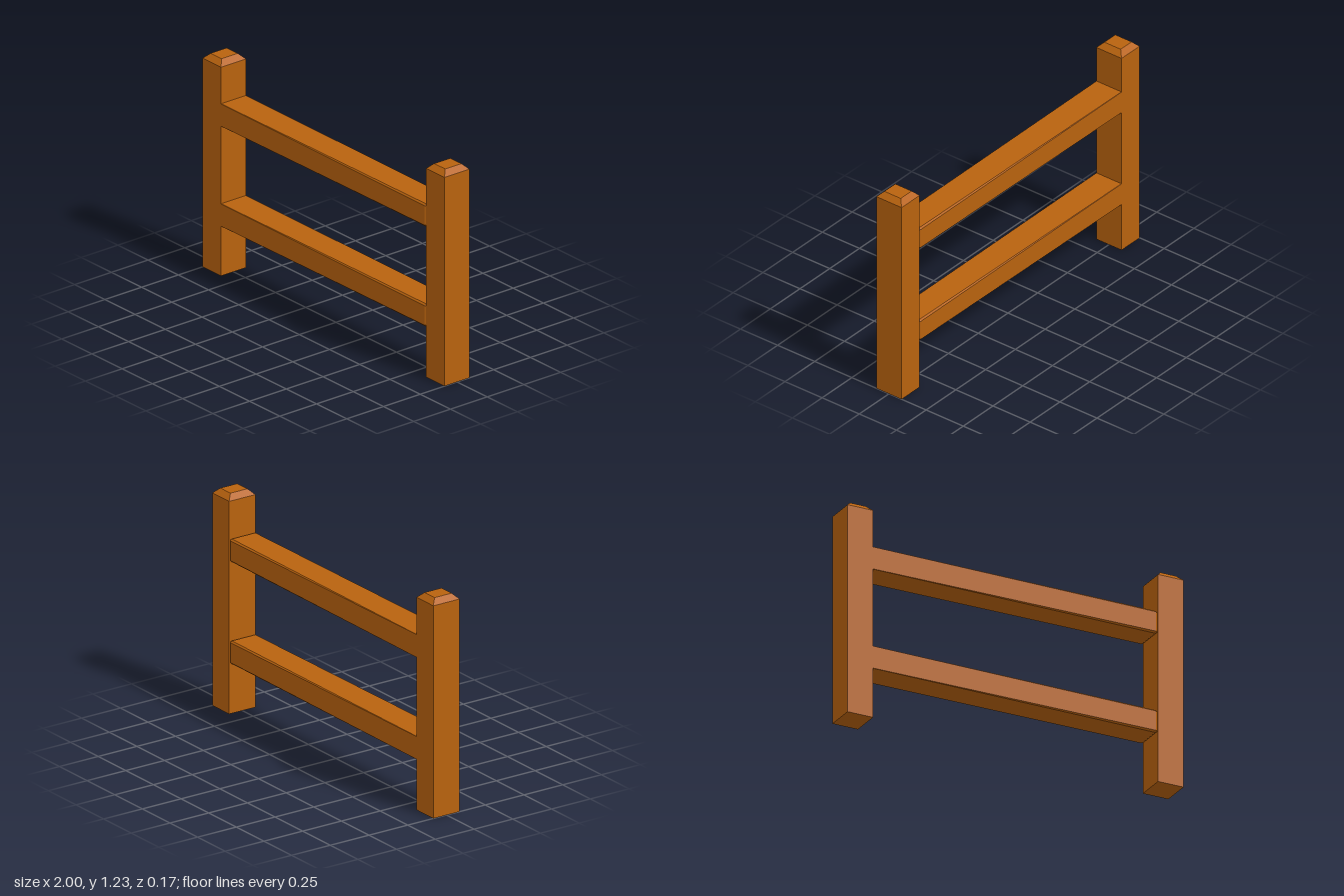
import * as THREE from 'three';

const wood = new THREE.MeshStandardMaterial({ color: 0xb8620e, flatShading: true });
const DEPTH = 0.17, POST_W = 0.152, POST_H = 1.2, CAP_H = 0.03, INSET = 0.03;

function flat(geometry) {
  const g = geometry.index ? geometry.toNonIndexed() : geometry;
  g.computeVertexNormals();
  return g;
}

// Square post whose upper ring is drawn in to form the bevelled cap
function postGeometry() {
  const g = new THREE.BoxGeometry(POST_W, 2, DEPTH, 1, 2, 1);
  const p = g.attributes.position;
  for (let i = 0; i < p.count; i++) {
    const level = Math.round(p.getY(i));
    p.setY(i, [0, POST_H, POST_H + CAP_H][level + 1]);
    if (level === 1) {
      p.setX(i, p.getX(i) - Math.sign(p.getX(i)) * INSET);
      p.setZ(i, p.getZ(i) - Math.sign(p.getZ(i)) * INSET);
    }
  }
  return flat(g);
}

// Rail with chamfers that widen along x and a bevelled left end
function railGeometry(height) {
  const sections = [
    { x: -0.86, cut: 0.001, shrink: 0 },
    { x: 0.836, cut: 0.009, shrink: 0 },
    { x: 0.848, cut: 0.003, shrink: 0.008 },
  ];
  const points = [], index = [];
  for (const { x, cut, shrink } of sections) {
    const h = height / 2 - shrink, d = DEPTH / 2 - shrink;
    const ring = [
      [h, d - cut], [h - cut, d], [cut - h, d], [-h, d - cut],
      [-h, cut - d], [cut - h, -d], [h - cut, -d], [h, cut - d],
    ];
    for (const [y, z] of ring) points.push(x, y, z);
  }
  for (let s = 0; s < 2; s++) {
    for (let i = 0; i < 8; i++) {
      const a = s * 8 + i, b = s * 8 + (i + 1) % 8;
      index.push(a, b, b + 8, a, b + 8, a + 8);
    }
  }
  // End faces, hidden against the posts
  for (let i = 1; i < 7; i++) {
    index.push(0, i + 1, i, 16, 16 + i, 17 + i);
  }
  const g = new THREE.BufferGeometry();
  g.setAttribute('position', new THREE.Float32BufferAttribute(points, 3));
  g.setIndex(index);
  return flat(g);
}

export function createModel() {
  const fence = new THREE.Group();
  fence.name = 'fence';

  const postGeo = postGeometry();
  for (const side of [-1, 1]) {
    const post = new THREE.Mesh(postGeo, wood);
    post.name = side > 0 ? 'leftPost' : 'rightPost';
    post.position.x = side * (1 - POST_W / 2);
    fence.add(post);
  }

  const railGeo = railGeometry(0.13);
  for (const [name, y] of [['lowerRail', 0.35], ['upperRail', 0.925]]) {
    const rail = new THREE.Mesh(railGeo, wood);
    rail.name = name;
    rail.position.y = y;
    fence.add(rail);
  }
  return fence;
}
